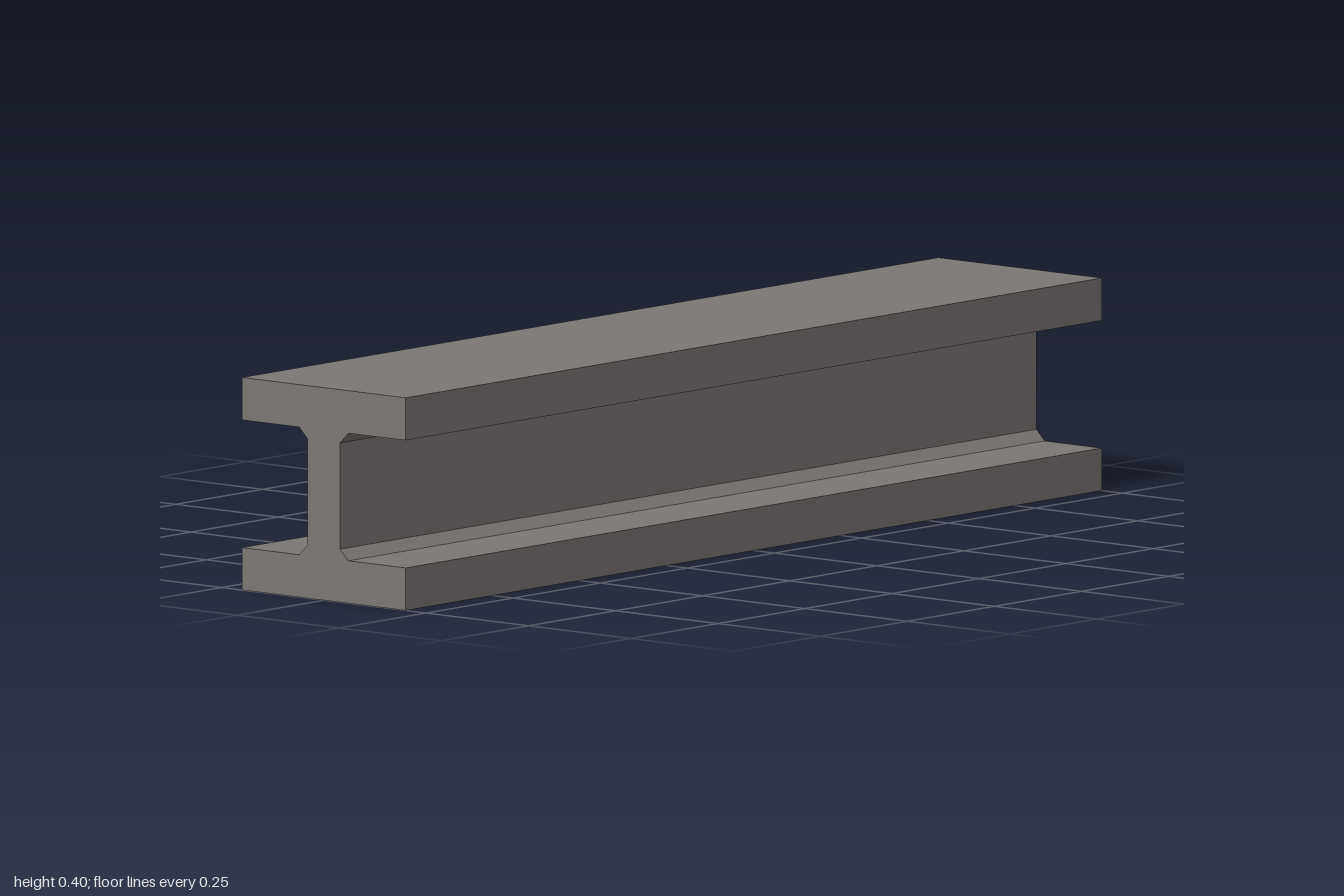
import * as THREE from 'three';

const LENGTH = 2;
const HEIGHT = 0.4;

export function createModel() {
  const steel = new THREE.MeshStandardMaterial({ color: 0x7b7775 });
  steel.name = 'warm grey steel';

  // Right half of the I-section, bottom to top: flange, chamfer, web, chamfer, flange
  const lower = [[0.2, 0], [0.2, 0.08], [0.06, 0.08], [0.04, 0.1]];
  const upper = lower.map(([x, y]) => [x, HEIGHT - y]).reverse();
  const half = [...lower, ...upper];
  const mirrored = half.map(([x, y]) => [-x, y]).reverse();
  const section = new THREE.Shape([...half, ...mirrored].map(([x, y]) => new THREE.Vector2(x, y)));

  // Sweep the section along z
  const geometry = new THREE.ExtrudeGeometry(section, { depth: LENGTH, bevelEnabled: false });
  geometry.translate(0, 0, -LENGTH / 2);

  const beam = new THREE.Mesh(geometry, steel);
  beam.name = 'beam';

  const group = new THREE.Group();
  group.name = 'steelBeam';
  group.add(beam);
  return group;
}
